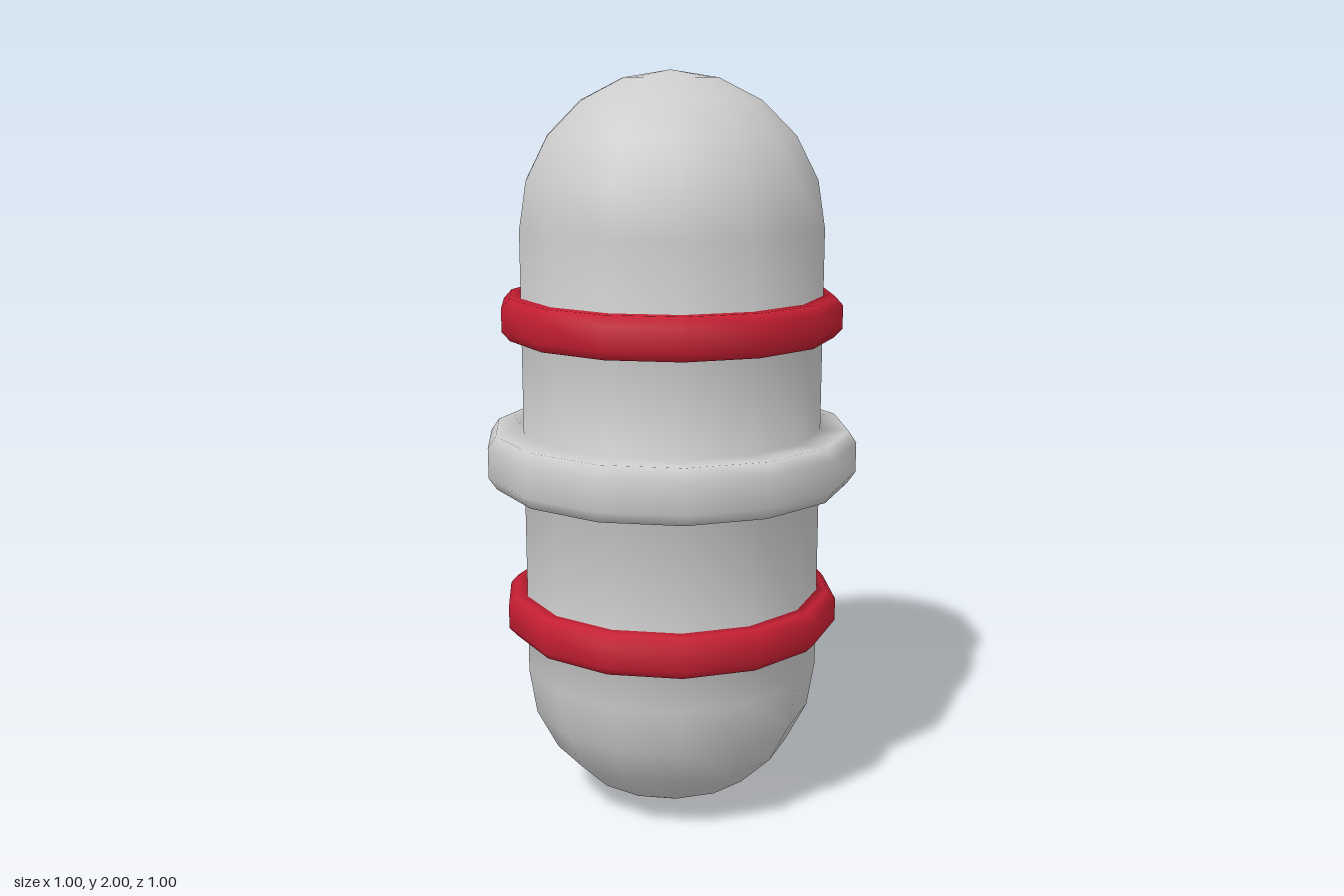
import * as THREE from 'three';

const SIDES = 14;
const BODY_R = 0.405;
const DOME_STEPS = 5;

// Points of a quarter circle, from the pole to the wall (or back again)
function dome(centreY, sign) {
  const points = [];
  for (let i = 0; i <= DOME_STEPS; i++) {
    const a = (i / DOME_STEPS) * Math.PI / 2;
    points.push([BODY_R * Math.sin(a), centreY + sign * 0.4 * Math.cos(a)]);
  }
  return sign < 0 ? points : points.reverse();
}

// Raised band with slightly bevelled corners
function band(bottom, top, radius) {
  const bevel = (top - bottom) * 0.22;
  return [
    [BODY_R, bottom], [radius - 0.022, bottom], [radius, bottom + bevel],
    [radius, top - bevel], [radius - 0.022, top], [BODY_R, top],
  ];
}

export function createModel() {
  const group = new THREE.Group();
  group.name = 'bandedCapsule';
  const grey = new THREE.MeshStandardMaterial({ color: 0xcccccc });
  const red = new THREE.MeshStandardMaterial({ color: 0xc41e32 });

  // Parts stacked from bottom to top; gaps between them become plain wall
  const parts = [
    { name: 'bottomDome', points: dome(0.4, -1), material: grey },
    { name: 'lowerRedBand', points: band(0.505, 0.615, 0.457), material: red },
    { name: 'middleBand', points: band(0.92, 1.065, 0.502), material: grey },
    { name: 'upperRedBand', points: band(1.315, 1.425, 0.457), material: red },
    { name: 'topDome', points: dome(1.6, 1), material: grey },
  ];

  // One continuous profile keeps the shading smooth across the parts
  const profile = parts.flatMap((p) => p.points.map(([x, y]) => new THREE.Vector2(Math.max(x, 0), y)));
  const lathe = new THREE.LatheGeometry(profile, SIDES, Math.PI / SIDES / 2);
  const rows = profile.length;
  const index = Array.from(lathe.index.array);

  // Cut out the rows of the lathe from one profile point to another
  function addSlice(name, first, last, material) {
    const kept = [];
    for (let s = 0; s < SIDES; s++) {
      const start = s * (rows - 1) * 6;
      kept.push(...index.slice(start + first * 6, start + last * 6));
    }
    const slice = lathe.clone();
    slice.setIndex(kept);
    const mesh = new THREE.Mesh(slice.toNonIndexed(), material);
    mesh.name = name;
    group.add(mesh);
  }

  let row = 0;
  parts.forEach((part, i) => {
    const last = row + part.points.length - 1;
    addSlice(part.name, row, last, part.material);
    if (i < parts.length - 1) addSlice('bodyWall' + (i + 1), last, last + 1, grey);
    row = last + 1;
  });

  return group;
}
